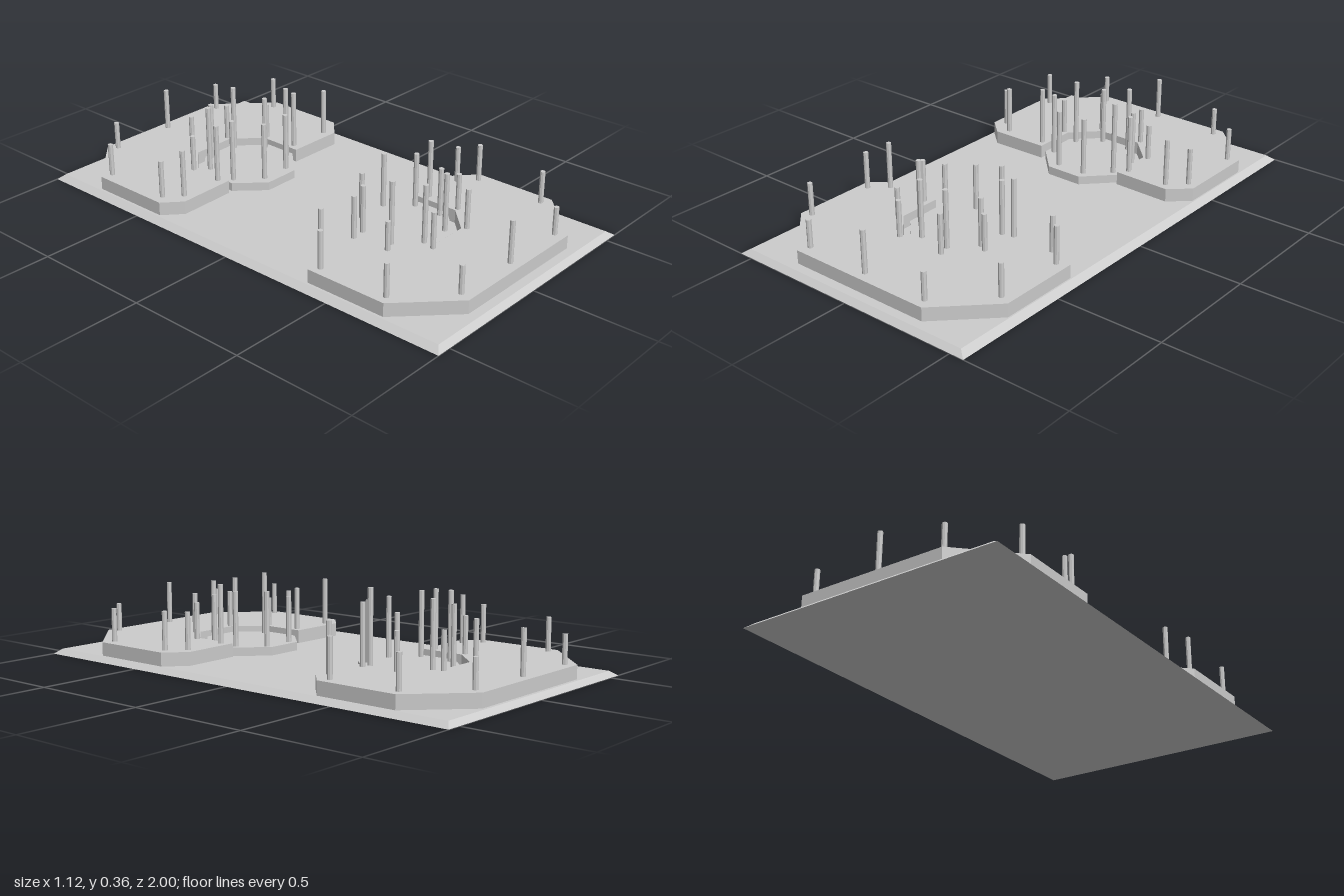
import * as THREE from 'three';

const grey = new THREE.MeshStandardMaterial({ color: 0xcccccc, flatShading: true });
const BASE_TOP = 0.02, PLATE_TOP = 0.075, INSERT_TOP = 0.055;

function add(parent, geometry, name) {
  const mesh = new THREE.Mesh(geometry, grey);
  mesh.name = name;
  parent.add(mesh);
  return mesh;
}

// Flat slab from an outline of [x, z] corners
function slab(points, bottom, top) {
  const shape = new THREE.Shape(points.map(([x, z]) => new THREE.Vector2(x, -z)));
  return new THREE.ExtrudeGeometry(shape, { depth: top - bottom, bevelEnabled: false })
    .rotateX(-Math.PI / 2)
    .translate(0, bottom, 0);
}

// Base board with sloping edges
function baseGeometry() {
  const geometry = new THREE.BoxGeometry(1.12, BASE_TOP, 2).translate(0, BASE_TOP / 2, 0);
  const p = geometry.attributes.position;
  for (let i = 0; i < p.count; i++) {
    if (p.getY(i) > 0.01) {
      p.setX(i, Math.sign(p.getX(i)) * 0.53);
      p.setZ(i, Math.sign(p.getZ(i)) * 0.977);
    }
  }
  geometry.computeVertexNormals();
  return geometry;
}

// Notched plate and octagonal insert, drawn for the front end
const plateOutline = [
  [-0.52, 0.38], [-0.445, 0.312], [-0.2, 0.316], [-0.2, 0.497], [-0.095, 0.606],
  [0.095, 0.606], [0.2, 0.5], [0.2, 0.314], [0.443, 0.31], [0.524, 0.385],
  [0.524, 0.731], [0.315, 0.938], [-0.31, 0.938], [-0.52, 0.73],
];
const insertOutline = [
  [-0.075, 0.212], [0.08, 0.212], [0.194, 0.33], [0.194, 0.468],
  [0.075, 0.584], [-0.075, 0.584], [-0.18, 0.482], [-0.18, 0.32],
];

// Pegs as [x, z, top height]
const pegs = {
  front: {
    plate: [
      [-0.29, 0.89, 0.19], [0, 0.895, 0.25], [0.29, 0.895, 0.19],
      [-0.48, 0.71, 0.21], [0.477, 0.71, 0.21], [-0.484, 0.41, 0.23], [0.479, 0.41, 0.23],
      [-0.415, 0.35, 0.27], [-0.23, 0.35, 0.25], [0.23, 0.35, 0.315], [0.413, 0.35, 0.225],
      [-0.22, 0.504, 0.195], [0.217, 0.5, 0.225], [-0.098, 0.62, 0.225], [0.111, 0.62, 0.24],
    ],
    insert: [
      [-0.055, 0.24, 0.245], [0.077, 0.24, 0.28], [-0.143, 0.32, 0.25], [0.16, 0.335, 0.28],
      [-0.145, 0.46, 0.315], [0.161, 0.455, 0.255], [-0.055, 0.547, 0.295], [0.072, 0.547, 0.295],
    ],
  },
  back: {
    plate: [
      [-0.286, -0.924, 0.19], [0, -0.924, 0.25], [0.293, -0.92, 0.19],
      [-0.474, -0.74, 0.21], [0.479, -0.737, 0.21], [-0.474, -0.437, 0.23], [0.484, -0.437, 0.23],
      [-0.41, -0.38, 0.27], [-0.225, -0.38, 0.315], [0.23, -0.38, 0.315], [0.415, -0.375, 0.27],
      [-0.22, -0.525, 0.225], [0.22, -0.53, 0.225], [-0.108, -0.65, 0.24], [0.098, -0.65, 0.225],
    ],
    insert: [
      [-0.055, -0.28, 0.295], [0.072, -0.28, 0.295], [-0.15, -0.366, 0.315], [0.164, -0.363, 0.36],
      [-0.143, -0.509, 0.33], [0.167, -0.49, 0.28], [-0.055, -0.586, 0.295], [0.077, -0.586, 0.33],
    ],
  },
};

function addPegs(parent, list, bottom) {
  for (const [x, z, top] of list) {
    const geometry = new THREE.CylinderGeometry(0.0105, 0.0105, top - bottom, 8);
    add(parent, geometry, 'peg').position.set(x, (top + bottom) / 2, z);
  }
}

export function createModel() {
  const model = new THREE.Group();
  model.name = 'pegBoard';
  add(model, baseGeometry(), 'base');

  for (const end of ['front', 'back']) {
    const group = new THREE.Group();
    group.name = end + 'Assembly';
    const place = ([x, z]) => [x, end === 'front' ? z : -0.026 - z];
    add(group, slab(plateOutline.map(place), BASE_TOP, PLATE_TOP), 'plate');
    add(group, slab(insertOutline.map(place), BASE_TOP, INSERT_TOP), 'insert');
    addPegs(group, pegs[end].plate, PLATE_TOP);
    addPegs(group, pegs[end].insert, INSERT_TOP);
    model.add(group);
  }
  return model;
}
